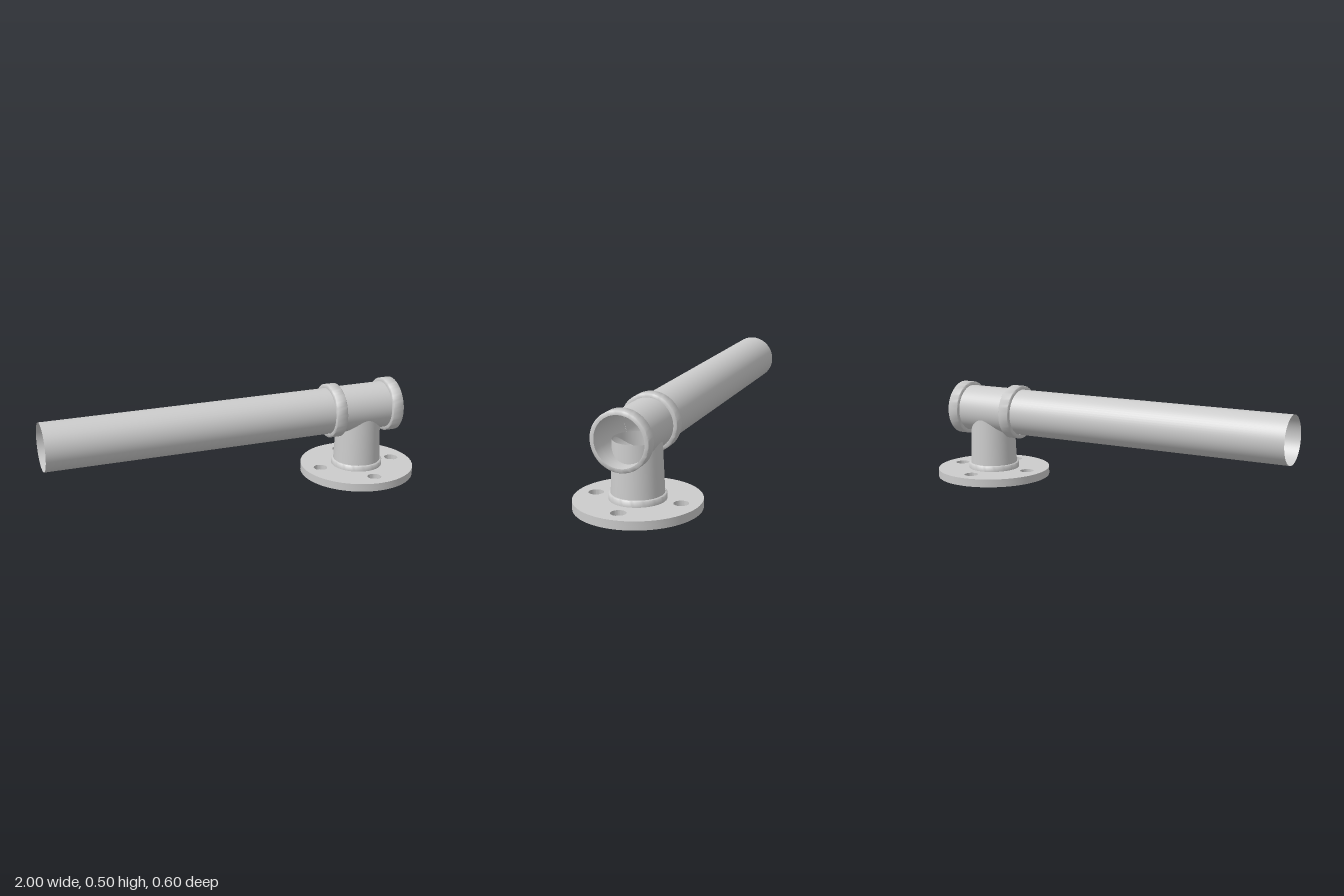
import * as THREE from 'three';
import { toCreasedNormals } from 'three/addons/utils/BufferGeometryUtils.js';

const SEG = 64;
const POST_X = 0.695, PIPE_Y = 0.361, PIPE_R = 0.122;

export function createModel() {
  const model = new THREE.Group();
  const solid = new THREE.MeshStandardMaterial({ color: 0xcccccc });
  const thin = new THREE.MeshStandardMaterial({ color: 0xcccccc, side: THREE.DoubleSide });

  function add(name, geometry, material, x, y) {
    const mesh = new THREE.Mesh(geometry, material);
    mesh.name = name;
    mesh.position.set(x, y, 0);
    model.add(mesh);
    return mesh;
  }

  // Open horizontal pipes: long rail and the slightly wider tee body
  function pipe(name, x0, x1, r) {
    const g = new THREE.CylinderGeometry(r, r, x1 - x0, SEG, 1, true).rotateZ(-Math.PI / 2);
    add(name, g, thin, (x0 + x1) / 2, PIPE_Y);
  }
  pipe('railPipe', -1, 0.54, 0.121);
  pipe('teePipe', 0.53, 0.835, PIPE_R + 0.001);

  // Ring-shaped collars at both ends of the tee
  const h = 0.03, inner = PIPE_R, outer = 0.142, b = 0.003;
  const profile = [
    [inner, -h], [outer - b, -h], [outer, -h + b],
    [outer, h - b], [outer - b, h], [inner, h], [inner, -h],
  ].map(([r, y]) => new THREE.Vector2(r, y));
  const collar = toCreasedNormals(new THREE.LatheGeometry(profile, SEG).rotateZ(-Math.PI / 2), 0.9);
  add('innerCollar', collar, solid, 0.535, PIPE_Y);
  add('outerCollar', collar, solid, 0.86, PIPE_Y);

  // Tapered post reaching into the tee, with a ring at its foot
  const postBottom = 0.042, postTop = 0.326;
  add('post', new THREE.CylinderGeometry(0.115, 0.126, postTop - postBottom, SEG, 1, true),
    thin, POST_X, (postBottom + postTop) / 2);
  const foot = [[0.12, 0], [0.135, 0], [0.135, 0.027], [0.132, 0.03], [0.12, 0.03]]
    .map(([r, y]) => new THREE.Vector2(r, y));
  add('postFoot', toCreasedNormals(new THREE.LatheGeometry(foot, SEG), 0.9), thin, POST_X, 0.042);

  // Base flange: solid lower disc and an upper disc with four bolt holes
  const baseR = 0.302, holeRing = 0.213, holeR = 0.036, floor = 0.016, top = 0.042;
  add('baseDisc', new THREE.CylinderGeometry(baseR, baseR, floor, SEG), solid, POST_X, floor / 2);
  const shape = new THREE.Shape().absarc(0, 0, baseR, 0, Math.PI * 2);
  for (let i = 0; i < 4; i++) {
    const a = (i * Math.PI) / 2;
    shape.holes.push(new THREE.Path().absarc(
      holeRing * Math.cos(a), holeRing * Math.sin(a), holeR, 0, Math.PI * 2, true));
  }
  const plate = new THREE.ExtrudeGeometry(shape, { depth: top - floor, bevelEnabled: false, curveSegments: 32 });
  plate.rotateX(-Math.PI / 2);
  add('boltFlange', toCreasedNormals(plate, 0.6), solid, POST_X, floor);

  return model;
}
